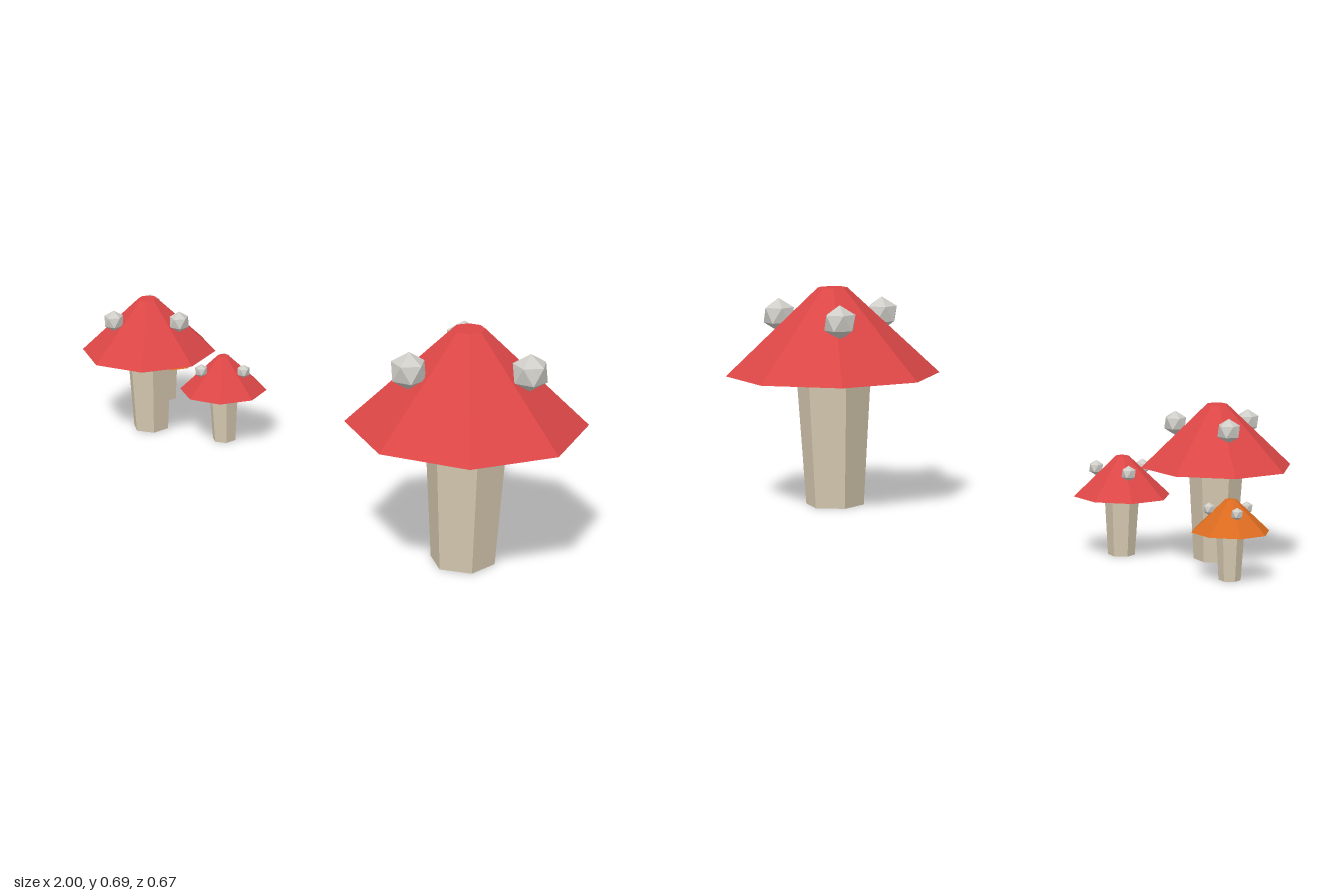
import * as THREE from 'three';

const flat = (name, color) => {
  const m = new THREE.MeshStandardMaterial({ color, flatShading: true });
  m.name = name;
  return m;
};

// Sizes of the full-scale mushroom
const STEM_H = 0.413, CAP_H = 0.273, SPOT_R = 0.0535;

export function createModel() {
  const red = flat('capRed', 0xdc4646);
  const orange = flat('capOrange', 0xdb6b20);
  const cream = flat('stemCream', 0xd5c8af);
  const grey = flat('spotGrey', 0xcfcdc7);

  // Six-sided stem that widens upwards, eight-sided cap with a small flat top
  const stemGeo = new THREE.CylinderGeometry(0.118, 0.092, STEM_H, 6).translate(0, STEM_H / 2, 0);
  const capGeo = new THREE.CylinderGeometry(0.046, 0.335, CAP_H, 8).translate(0, STEM_H + CAP_H / 2, 0);
  // Icosahedron turned so that one corner points straight up
  const spotGeo = new THREE.IcosahedronGeometry(SPOT_R, 0).rotateZ(-Math.atan(2 / (1 + Math.sqrt(5))));
  const spots = [[-0.133, -0.123], [0.177, -0.054], [-0.054, 0.175]];

  const add = (group, name, geo, mat) => {
    const mesh = new THREE.Mesh(geo, mat);
    mesh.name = name;
    group.add(mesh);
    return mesh;
  };

  const mushroom = (name, x, z, scale, capMat) => {
    const g = new THREE.Group();
    g.name = name;
    add(g, 'stem', stemGeo, cream);
    add(g, 'cap', capGeo, capMat);
    spots.forEach(([sx, sz], i) => add(g, `spot${i + 1}`, spotGeo, grey).position.set(sx, 0.594, sz));
    g.position.set(x, 0, z);
    g.scale.setScalar(scale);
    return g;
  };

  const model = new THREE.Group();
  model.name = 'mushrooms';
  model.add(
    mushroom('largeMushroom', 0.665, 0, 1, red),
    mushroom('mediumMushroom', -0.724, 0, 0.636, red),
    mushroom('smallMushroom', -0.481, -0.103, 0.41, red),
    mushroom('orangeMushroom', -0.893, -0.207, 0.319, orange),
  );
  return model;
}
